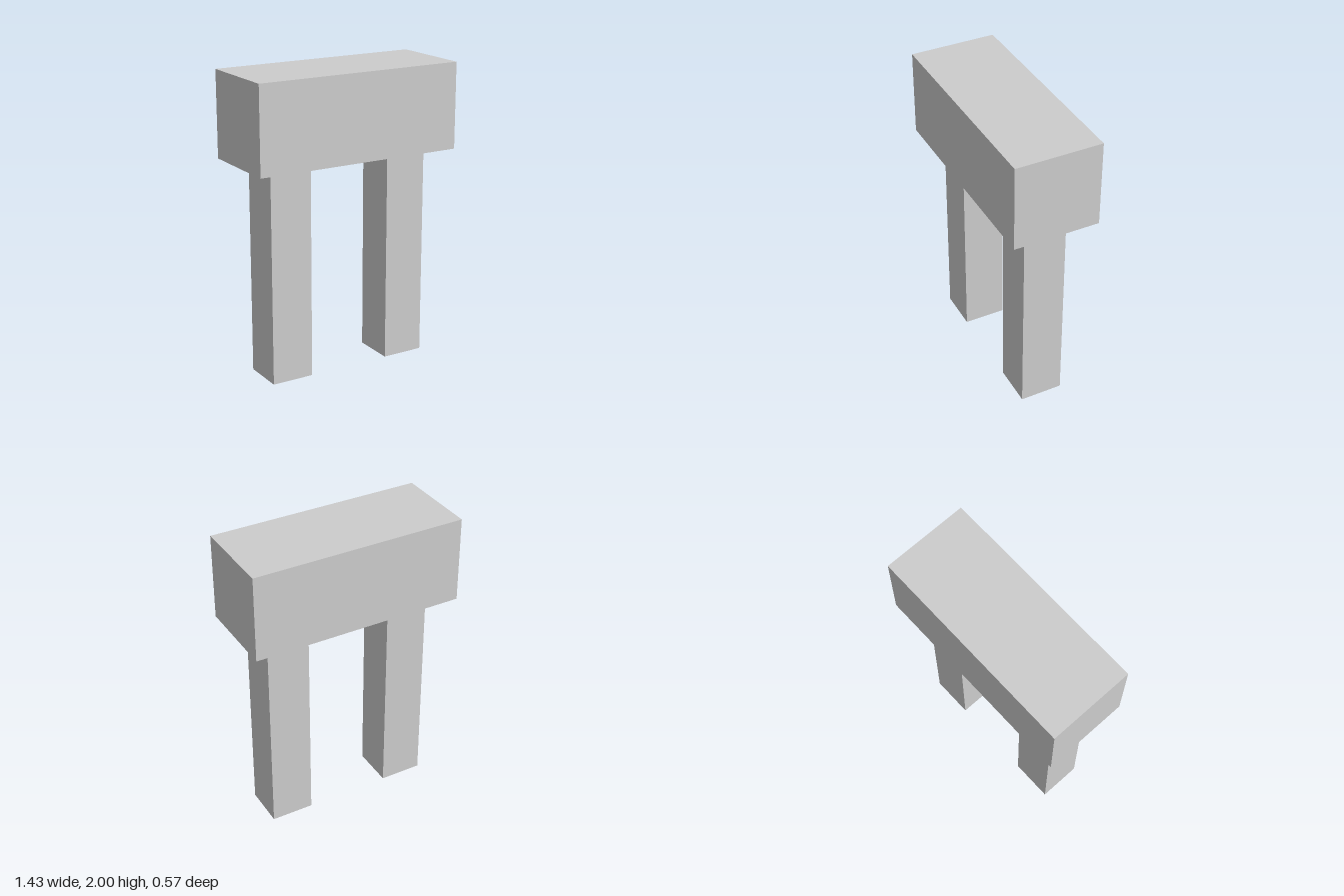
import * as THREE from 'three';

const U = 2 / 14; // the model is 14 modules tall

export function createModel() {
  const group = new THREE.Group();
  group.name = 'postAndLintelArch';
  const stone = new THREE.MeshStandardMaterial({ color: 0xcccccc });
  stone.name = 'light grey stone';

  // Box sized in modules, placed by the centre of its base
  const block = (name, w, h, d, x, y) => {
    const mesh = new THREE.Mesh(new THREE.BoxGeometry(w * U, h * U, d * U), stone);
    mesh.name = name;
    mesh.position.set(x * U, (y + h / 2) * U, 0);
    group.add(mesh);
  };

  // Two square posts
  for (const side of [-1, 1]) {
    block(side > 0 ? 'leftPost' : 'rightPost', 2, 10, 2, side * 3, 0);
  }

  // Heavy beam across the top
  block('lintel', 10, 4, 4, 0, 10);

  return group;
}
